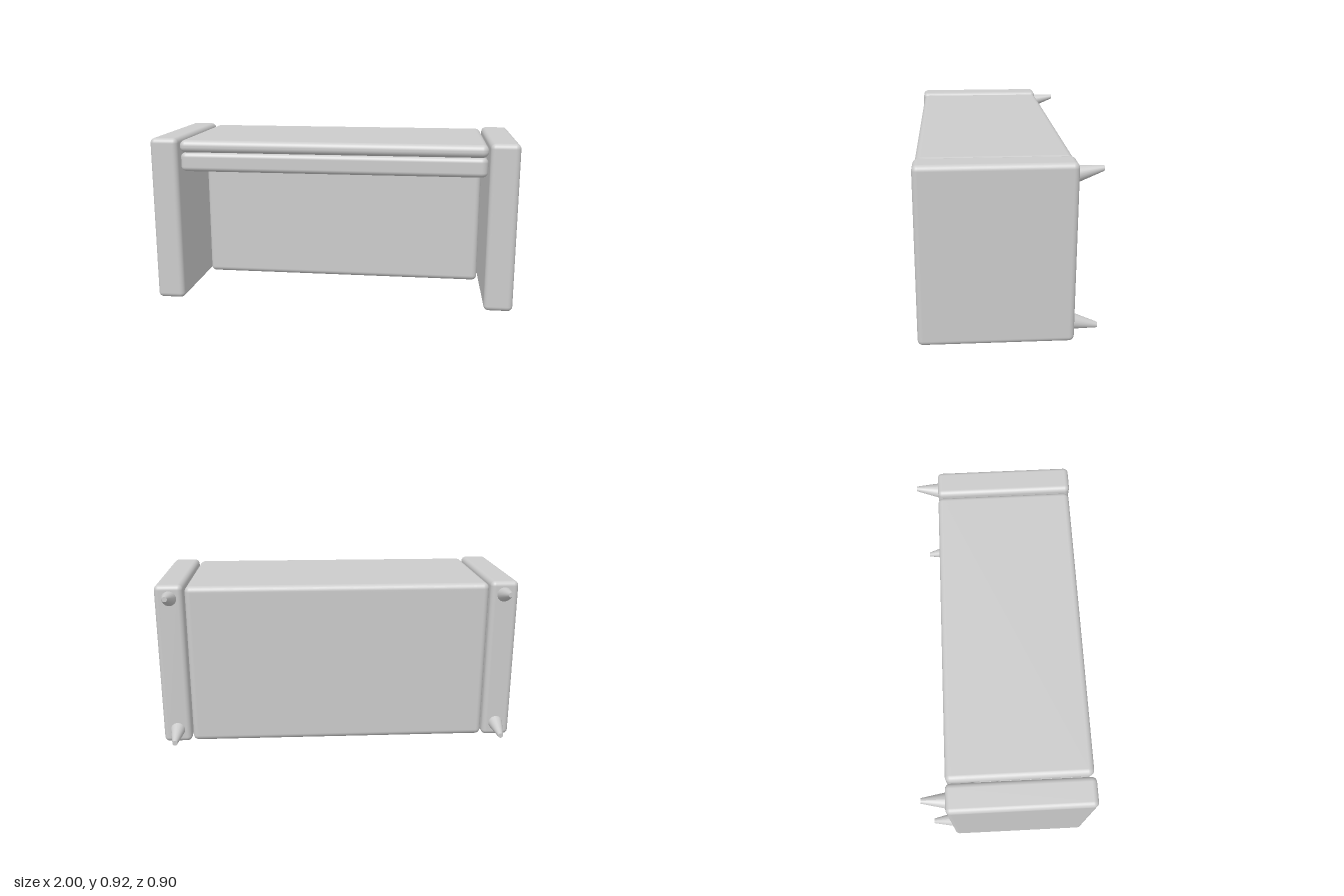
import * as THREE from 'three';
import { RoundedBoxGeometry } from 'three/addons/geometries/RoundedBoxGeometry.js';

const material = new THREE.MeshStandardMaterial({ color: 0xcccccc });

// Rounded box geometry given by its [min, max] extents on each axis
function padGeometry([x0, x1], [y0, y1], [z0, z1], radius) {
  const geometry = new RoundedBoxGeometry(x1 - x0, y1 - y0, z1 - z0, 4, radius);
  return geometry.translate((x0 + x1) / 2, (y0 + y1) / 2, (z0 + z1) / 2);
}

// Foot tapering towards -z; its tip is shifted so that one edge stays straight
function footGeometry(side) {
  const base = 0.046, tip = 0.014, length = 0.15;
  const geometry = new THREE.CylinderGeometry(tip, base, length, 24);
  geometry.rotateX(-Math.PI / 2);
  const p = geometry.attributes.position;
  for (let i = 0; i < p.count; i++) {
    const t = 0.5 - p.getZ(i) / length; // 0 at the base, 1 at the tip
    p.setY(i, p.getY(i) + side * t * (base - tip));
  }
  geometry.computeVertexNormals();
  return geometry;
}

export function createModel() {
  const model = new THREE.Group();
  model.name = 'overturnedSofa';
  const add = (name, geometry) => {
    const mesh = new THREE.Mesh(geometry, material);
    mesh.name = name;
    model.add(mesh);
    return mesh;
  };

  // Sofa lying on its front edge: the seat stands upright, the backrest is on top
  const width = [-0.837, 0.837];
  add('seatBase', padGeometry(width, [0.005, 0.912], [-0.325, -0.185], 0.032));
  add('seatCushion', padGeometry(width, [0.005, 0.85], [-0.185, -0.05], 0.03));
  add('backrest', padGeometry(width, [0.843, 0.912], [-0.325, 0.443], 0.032));

  // Back cushion, thicker towards the seat
  const z0 = -0.06, z1 = 0.435;
  const cushion = padGeometry(width, [0.7, 0.843], [z0, z1], 0.035);
  const p = cushion.attributes.position;
  for (let i = 0; i < p.count; i++) {
    const t = (p.getZ(i) - z0) / (z1 - z0);
    const depth = (0.843 - p.getY(i)) / 0.143;
    p.setY(i, p.getY(i) + 0.038 * t * depth);
  }
  add('backCushion', cushion);

  // Armrests with two feet each
  for (const s of [-1, 1]) {
    const side = s > 0 ? 'left' : 'right';
    add(side + 'Armrest', padGeometry([-0.078, 0.078], [0.002, 0.922], [-0.325, 0.45], 0.028))
      .position.x = s * 0.922;
    for (const [end, y, shift] of [['Rear', 0.844, 1], ['Front', 0.085, -1]]) {
      add(side + end + 'Foot', footGeometry(shift)).position.set(s * 0.92, y, -0.375);
    }
  }
  return model;
}
